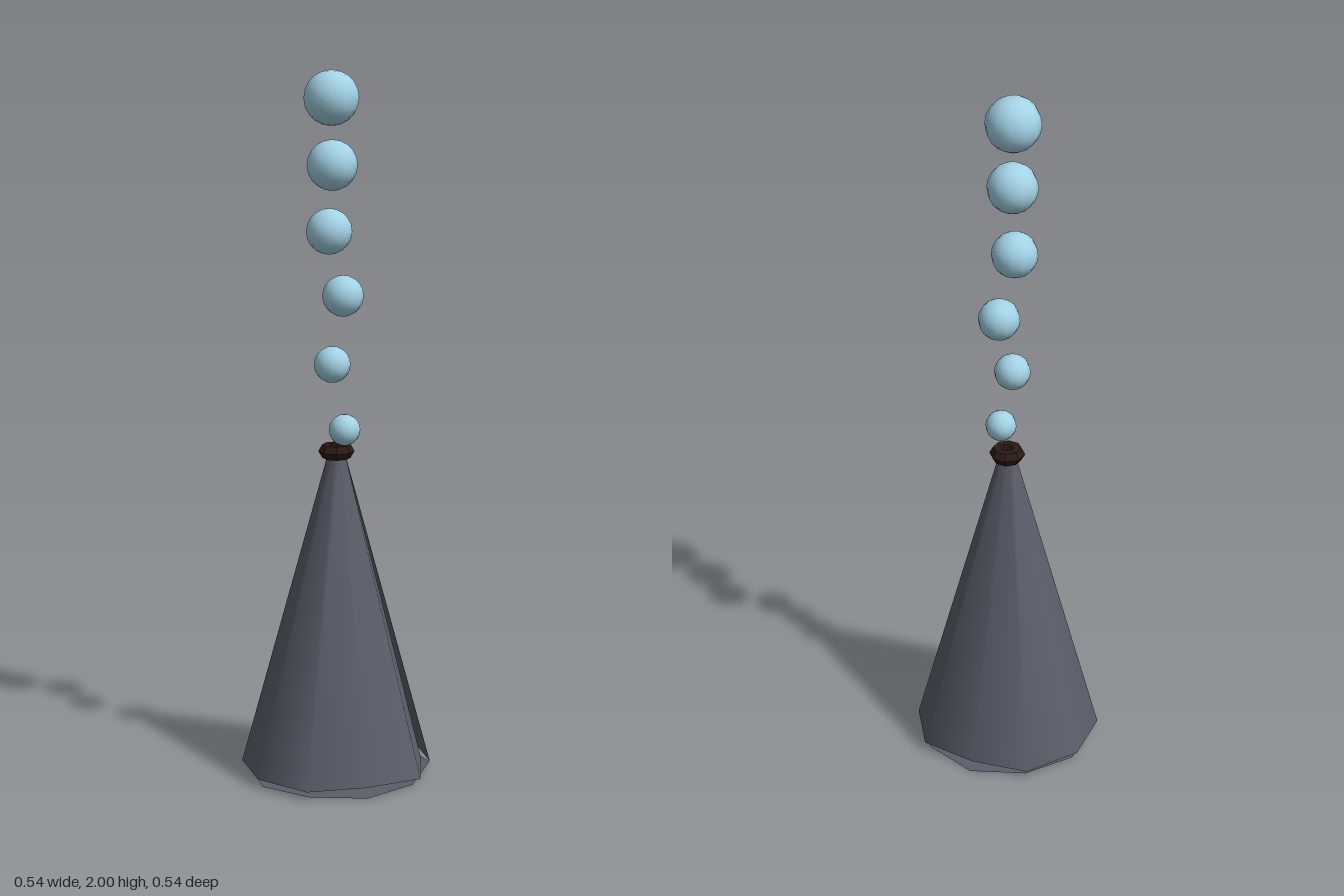
import * as THREE from 'three';

const material = (color, extra = {}) => new THREE.MeshStandardMaterial({ color, ...extra });

function addMesh(parent, name, geometry, mat) {
  const mesh = new THREE.Mesh(geometry, mat);
  mesh.name = name;
  parent.add(mesh);
  return mesh;
}

// Moves a vertex to radius r and height y, at step k of a ten-sided ring that starts at +x
function placeOnRing(position, index, k, r, y) {
  const a = (k / 10) * Math.PI * 2;
  position.setXYZ(index, r * Math.cos(a), y, -r * Math.sin(a));
}

export function createModel() {
  const group = new THREE.Group();
  const slate = material(0x5b5e69, { side: THREE.DoubleSide });

  // Irregular ten-sided cone wall, left slightly open along its +x seam
  const wall = new THREE.CylinderGeometry(0.022, 0.27, 0.91, 10, 1, true);
  const wallRadii = [0.27, 0.28, 0.25, 0.283, 0.278, 0.272, 0.278, 0.283, 0.25, 0.288, 0.245];
  wallRadii.forEach((r, k) => {
    placeOnRing(wall.attributes.position, k, k, 0.022, 0.94);
    placeOnRing(wall.attributes.position, 11 + k, k, r, k === 0 ? 0.022 : 0.03);
  });
  wall.computeVertexNormals();
  addMesh(group, 'coneWall', wall, slate);

  // Loose base plate just under the wall (vertex 0 is the centre)
  const base = new THREE.CircleGeometry(0.26, 10);
  const baseRadii = [0.27, 0.262, 0.264, 0.262, 0.26, 0.255, 0.26, 0.262, 0.264, 0.262, 0.27];
  base.attributes.position.setXYZ(0, 0, 0.01, 0);
  baseRadii.forEach((r, k) => {
    const y = k % 10 === 0 ? 0.022 : k === 5 ? 0.015 : k % 2 ? 0.008 : 0.004;
    placeOnRing(base.attributes.position, k + 1, 10 - k, r, y);
  });
  base.computeVertexNormals();
  addMesh(group, 'basePlate', base, slate);

  // Dark collar round the tip
  const collar = addMesh(group, 'tipCollar', new THREE.TorusGeometry(0.029, 0.022, 6, 8),
    material(0x2a1a14, { flatShading: true }));
  collar.rotation.x = Math.PI / 2;
  collar.position.y = 0.94;

  // Rising bubbles, growing with height: x, y, z, radius
  const bubbles = new THREE.Group();
  bubbles.name = 'bubbles';
  group.add(bubbles);
  const blue = material(0xa3d3e6);
  [
    [0.022, 1.008, 0.037, 0.044],
    [-0.012, 1.19, 0.021, 0.051],
    [0.019, 1.375, -0.029, 0.058],
    [-0.02, 1.558, -0.002, 0.064],
    [-0.012, 1.742, 0.02, 0.07],
    [-0.014, 1.924, 0.016, 0.076],
  ].forEach(([x, y, z, r], i) => {
    addMesh(bubbles, `bubble${i + 1}`, new THREE.SphereGeometry(r, 12, 10), blue).position.set(x, y, z);
  });

  return group;
}
